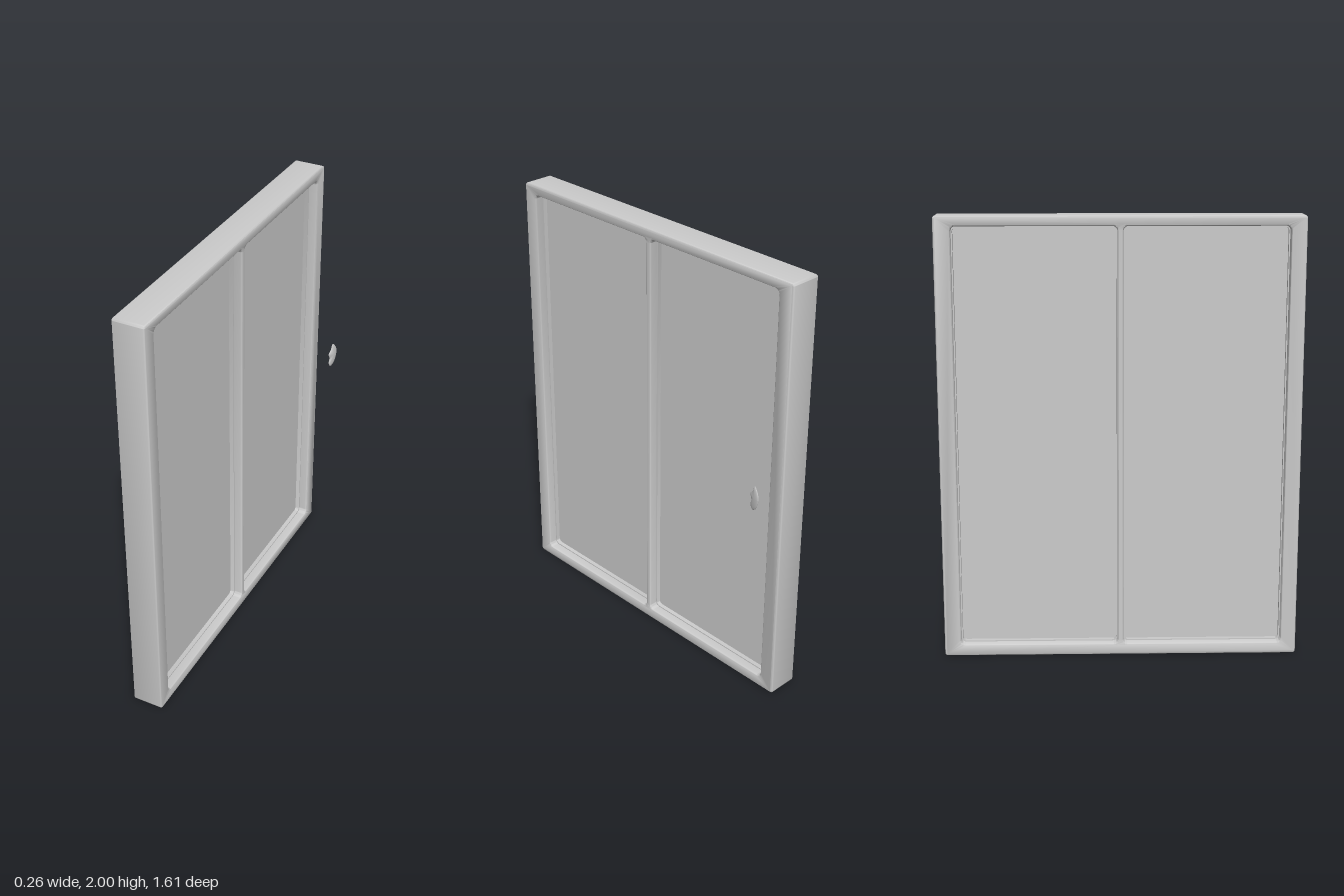
import * as THREE from 'three';
import { toCreasedNormals } from 'three/addons/utils/BufferGeometryUtils.js';

const grey = new THREE.MeshStandardMaterial({ color: 0xcccccc });

// Rounded rectangle as a Shape or Path; u runs along -z, v along y
function roundRect(Type, u0, u1, v0, v1, r) {
  const p = new Type();
  p.moveTo(u0 + r, v0);
  p.lineTo(u1 - r, v0);
  p.absarc(u1 - r, v0 + r, r, -Math.PI / 2, 0);
  p.lineTo(u1, v1 - r);
  p.absarc(u1 - r, v1 - r, r, 0, Math.PI / 2);
  p.lineTo(u0 + r, v1);
  p.absarc(u0 + r, v1 - r, r, Math.PI / 2, Math.PI);
  p.lineTo(u0, v0 + r);
  p.absarc(u0 + r, v0 + r, r, Math.PI, Math.PI * 1.5);
  return p;
}

// Extrudes a shape along x from x0 to x1 with softened edges
function slab(shape, x0, x1, bevel) {
  const geo = new THREE.ExtrudeGeometry(shape, {
    depth: x1 - x0 - 2 * bevel, curveSegments: 6,
    bevelEnabled: bevel > 0, bevelThickness: bevel, bevelSize: bevel,
    bevelOffset: -bevel, bevelSegments: 4,
  });
  geo.translate(0, 0, x0 + bevel);
  geo.rotateY(Math.PI / 2);
  return toCreasedNormals(geo, 0.7);
}

export function createModel() {
  const model = new THREE.Group();
  const add = (name, geo) => {
    const mesh = new THREE.Mesh(geo, grey);
    mesh.name = name;
    model.add(mesh);
    return mesh;
  };

  // Outer frame with two openings; the strip between them is the mullion
  const openings = [[-0.735, -0.013], [0.013, 0.73]];
  const bottom = 0.053, top = 1.955;
  const frame = roundRect(THREE.Shape, -0.805, 0.805, 0, 2, 0.012);
  for (const [u0, u1] of openings) {
    frame.holes.push(roundRect(THREE.Path, u0, u1, bottom, top, 0.022));
  }
  add('frame', slab(frame, -0.13, 0.016, 0.009));

  openings.forEach(([u0, u1], i) => {
    const side = i === 0 ? 'front' : 'back';
    // Thin stop bead holding the pane
    const bead = roundRect(THREE.Shape, u0 - 0.004, u1 + 0.004, bottom - 0.004, top + 0.004, 0.022);
    bead.holes.push(roundRect(THREE.Path, u0 + 0.005, u1 - 0.005, bottom + 0.005, top - 0.005, 0.018));
    add(side + 'Bead', slab(bead, -0.09, -0.025, 0));
    // Recessed pane
    const pane = new THREE.BoxGeometry(0.024, top - bottom + 0.006, u1 - u0 + 0.006);
    add(side + 'Pane', pane).position.set(-0.057, (top + bottom) / 2, -(u0 + u1) / 2);
  });

  // Handle: a thin, lens-shaped pebble with an uneven outline, offset from the frame
  const cz = -0.742, cy = 1.06;
  const outline = new THREE.CatmullRomCurve3([
    [-0.772, 1.062], [-0.764, 1.094], [-0.742, 1.117], [-0.731, 1.09], [-0.715, 1.07],
    [-0.723, 1.042], [-0.718, 1.015], [-0.73, 0.998], [-0.754, 1.012],
  ].map(([z, y]) => new THREE.Vector3(0, y - cy, z - cz)), true);
  const handle = new THREE.SphereGeometry(1, 36, 12);
  const pos = handle.attributes.position;
  for (let i = 0; i < pos.count; i++) {
    const axial = pos.getY(i);
    const ring = Math.sqrt(Math.max(0, 1 - axial * axial));
    const turn = handle.attributes.uv.getX(i);
    const p = outline.getPoint(((turn % 1) + 1) % 1).multiplyScalar(ring);
    pos.setXYZ(i, axial * 0.007 - p.z * 0.25, p.y, p.z);
  }
  // Keep the faces outward whichever way the outline turns
  const a = outline.getPoint(0), b = outline.getPoint(0.1);
  const sphereTurn = -1; // outline sense (y to z) matching the sphere's own winding
  if (Math.sign(a.y * b.z - a.z * b.y) !== sphereTurn) {
    const idx = handle.index.array;
    for (let i = 0; i < idx.length; i += 3) [idx[i], idx[i + 1]] = [idx[i + 1], idx[i]];
  }
  handle.computeVertexNormals();
  const knob = add('handle', handle);
  knob.position.set(0.12, cy, cz);
  knob.material = new THREE.MeshStandardMaterial({ color: 0xcccccc, side: THREE.DoubleSide });
  return model;
}
